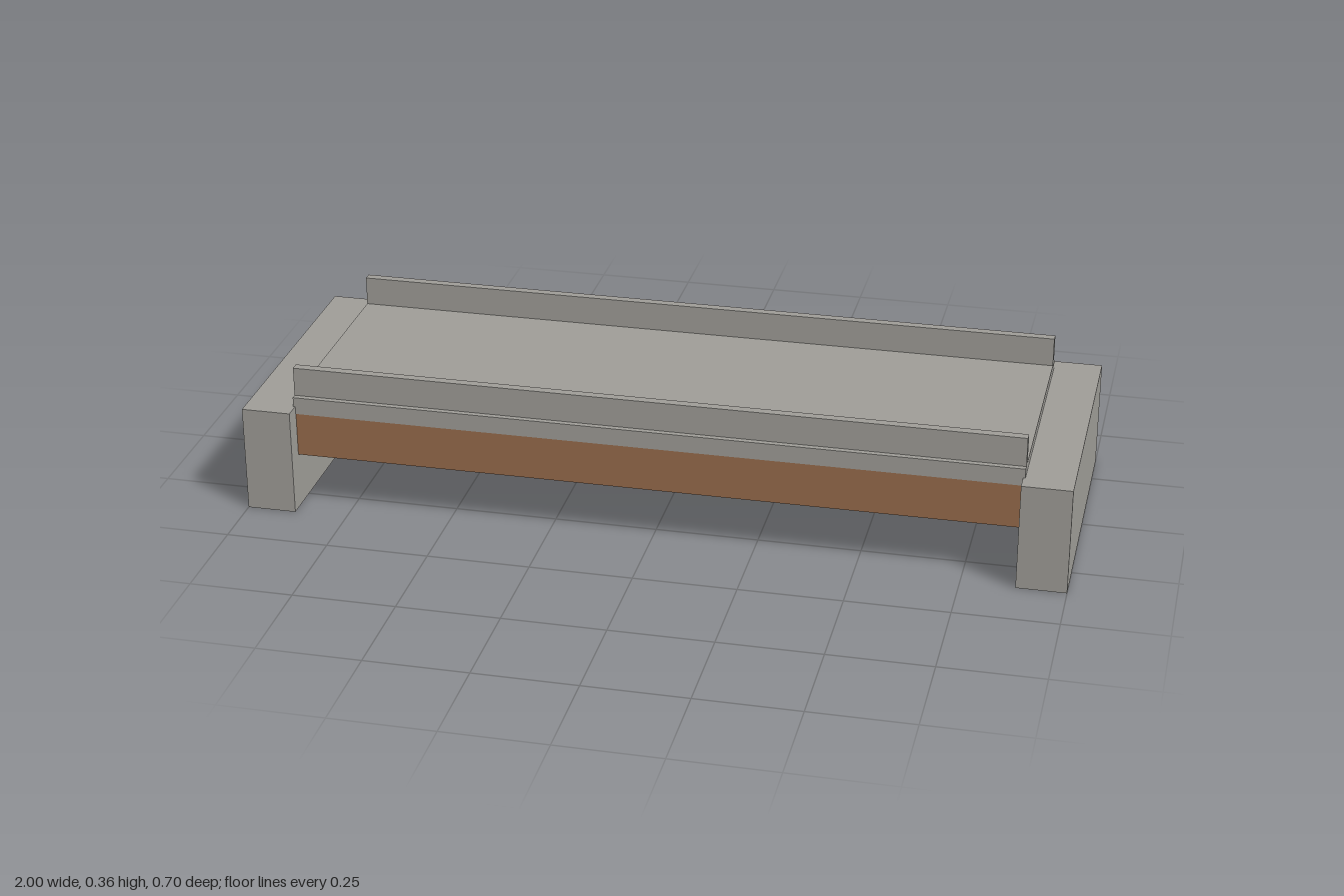
import * as THREE from 'three';

const concrete = new THREE.MeshStandardMaterial({ name: 'concrete grey', color: 0x9e9c97 });
const timber = new THREE.MeshStandardMaterial({ name: 'girder brown', color: 0x966b4b });

// Box given by its minimum and maximum on each axis
function block(name, material, [x0, x1], [y0, y1], [z0, z1]) {
  const mesh = new THREE.Mesh(new THREE.BoxGeometry(x1 - x0, y1 - y0, z1 - z0), material);
  mesh.name = name;
  mesh.position.set((x0 + x1) / 2, (y0 + y1) / 2, (z0 + z1) / 2);
  return mesh;
}

export function createModel() {
  const bridge = new THREE.Group();
  bridge.name = 'bridge';

  // Deck slab spanning the supports
  const span = [-0.885, 0.885];
  bridge.add(block('deck', concrete, span, [0.245, 0.288], [-0.309, 0.309]));

  for (const side of [1, -1]) {
    const label = side > 0 ? 'front' : 'back';
    const across = (a, b) => (side > 0 ? [a, b] : [-b, -a]);

    // Parapet on the deck and girder below its edge
    bridge.add(block(label + 'Parapet', concrete, span, [0.288, 0.36], across(0.273, 0.295)));
    bridge.add(block(label + 'Girder', timber, [-0.882, 0.882], [0.135, 0.245], across(0.265, 0.307)));

    // Abutment at each end
    bridge.add(block(side > 0 ? 'leftAbutment' : 'rightAbutment', concrete,
      across(0.88, 1), [0, 0.265], [-0.352, 0.352]));
  }
  return bridge;
}
